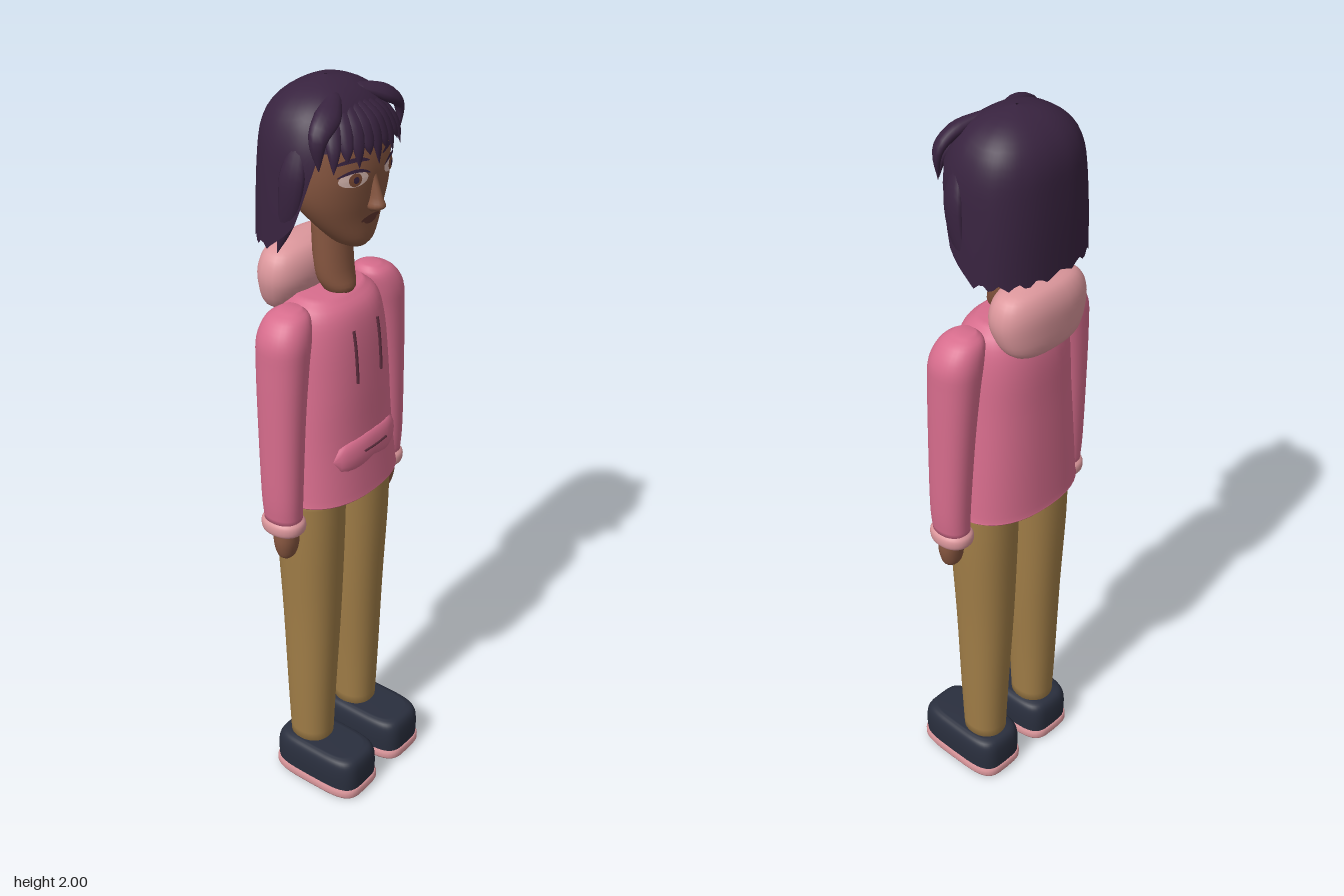
import * as THREE from 'three';

const mat = (name, color, side = THREE.FrontSide) => {
  const m = new THREE.MeshStandardMaterial({ color, side });
  m.name = name;
  return m;
};

// Joins closed rings of points, listed along their axis, into one smooth skin.
function skin(rings, caps = true) {
  const n = rings[0].length, pos = [], idx = [];
  rings.forEach(r => r.forEach(p => pos.push(p.x, p.y, p.z)));
  for (let i = 0; i < rings.length - 1; i++) {
    for (let j = 0; j < n; j++) {
      const a = i * n + j, b = i * n + (j + 1) % n;
      idx.push(a, b, a + n, b, b + n, a + n);
    }
  }
  if (caps) [0, rings.length - 1].forEach(i => {
    const c = new THREE.Vector3();
    rings[i].forEach(p => c.addScaledVector(p, 1 / n));
    const k = pos.length / 3;
    pos.push(c.x, c.y, c.z);
    for (let j = 0; j < n; j++) {
      const a = i * n + j, b = i * n + (j + 1) % n;
      idx.push(...(i ? [a, b, k] : [b, a, k]));
    }
  });
  const g = new THREE.BufferGeometry();
  g.setAttribute('position', new THREE.Float32BufferAttribute(pos, 3));
  g.setIndex(idx);
  g.computeVertexNormals();
  return g;
}

// Cross-sections are [y, centreX, centreZ, radiusX, radiusZ], from the bottom up.
function smooth(rows, k = 4) {
  const a = new THREE.CatmullRomCurve3(rows.map(r => new THREE.Vector3(r[0], r[1], r[2])), false, 'catmullrom');
  const b = new THREE.CatmullRomCurve3(rows.map(r => new THREE.Vector3(r[3], r[4], 0)), false, 'catmullrom');
  const m = (rows.length - 1) * k;
  return Array.from({ length: m + 1 }, (_, i) => {
    const p = a.getPoint(i / m), q = b.getPoint(i / m);
    return [p.x, p.y, p.z, q.x, q.y];
  });
}
const bend = (v, p) => Math.sign(v) * Math.abs(v) ** (2 / p);
const edge = ([y, cx, cz, rx, rz], a, p) =>
  new THREE.Vector3(cx + rx * bend(Math.sin(a), p), y, cz + rz * bend(Math.cos(a), p));
const loft = (rows, p = 2, n = 32) =>
  skin(rows.map(r => Array.from({ length: n }, (_, j) => edge(r, j / n * Math.PI * 2, p))));
function rowAt(rows, y) {
  const i = Math.min(Math.max(rows.findIndex(r => r[0] >= y), 1), rows.length - 1);
  const lo = rows[i - 1], hi = rows[i], t = (y - lo[0]) / (hi[0] - lo[0]);
  return lo.map((v, k) => v + (hi[k] - v) * t);
}
function frontZ(rows, x, y, p) {
  const [, cx, cz, rx, rz] = rowAt(rows, y);
  return cz + rz * Math.max(0, 1 - Math.abs((x - cx) / rx) ** p) ** (1 / p);
}

// Flattened strand along a curve; centre gives the axis it faces away from.
function strand(points, width, thick, profile, centre) {
  const curve = new THREE.CatmullRomCurve3(points.map(p => new THREE.Vector3(...p))), steps = 14;
  return skin(Array.from({ length: steps + 1 }, (_, i) => {
    const t = i / steps, c = curve.getPoint(t), T = curve.getTangent(t);
    const S = T.clone().cross(c.clone().sub(centre)).normalize(), N = S.clone().cross(T);
    return Array.from({ length: 12 }, (_, j) => {
      const a = j / 12 * Math.PI * 2, f = profile(t);
      return c.clone().addScaledVector(N, thick * f * Math.cos(a)).addScaledVector(S, width * f * Math.sin(a));
    });
  }));
}
const leaf = t => Math.max(0.03, Math.min(1, 0.45 + t * 1.6) * (1 - t ** 3));
const blunt = t => Math.max(0.02, (1 - Math.abs(2 * t - 1) ** 5) ** 0.5) * (0.8 + 0.2 * Math.abs(2 * t - 1));

export function createModel() {
  const model = new THREE.Group();
  const skinTone = mat('brown skin', 0x85553f), hair = mat('dark purple hair', 0x38233f, THREE.DoubleSide);
  const pink = mat('rose fabric', 0xd66c8c), pale = mat('pale pink lining', 0xdc979c);
  const tan = mat('tan trousers', 0xa07d47), navy = mat('navy shoe', 0x2a2f3e);
  const white = mat('eye white', 0xd8b8b0), iris = mat('iris brown', 0x7c4a35);
  const lip = mat('lip', 0x5f352e), cord = mat('dark cord', 0x5a2c3c);
  const add = (name, geo, material) => {
    const m = new THREE.Mesh(geo, material);
    m.name = name;
    model.add(m);
    return m;
  };

  // Hoodie body, hood and pocket
  const torso = smooth([[0.937, 0, -0.018, 0.17, 0.122], [0.946, 0, -0.018, 0.189, 0.136], [0.965, 0, -0.018, 0.187, 0.135],
    [1.1, 0, -0.022, 0.174, 0.127], [1.25, 0, -0.022, 0.161, 0.122], [1.38, 0, -0.025, 0.15, 0.115],
    [1.45, 0, -0.025, 0.132, 0.097], [1.485, 0, -0.025, 0.095, 0.06]]);
  add('hoodieBody', loft(torso, 2.3, 40), pink);
  add('hood', loft(smooth([[1.41, 0, -0.125, 0.05, 0.015], [1.44, 0, -0.118, 0.112, 0.05], [1.5, 0, -0.107, 0.14, 0.069],
    [1.55, 0, -0.105, 0.138, 0.069], [1.585, 0, -0.105, 0.112, 0.052], [1.6, 0, -0.105, 0.05, 0.02]]), 2.4), pale);
  const axis = new THREE.Vector3(0, 1.07, -0.06);
  add('pocket', strand([[-0.122, 1.07, 0.078], [-0.06, 1.074, 0.099], [0, 1.082, 0.104], [0.06, 1.074, 0.099], [0.122, 1.07, 0.078]],
    0.048, 0.018, blunt, axis), pink);
  add('pocketSlit', new THREE.TubeGeometry(new THREE.CatmullRomCurve3([[-0.045, 0.118], [0, 0.12], [0.045, 0.118]]
    .map(([x, z]) => new THREE.Vector3(x, 1.082, z))), 8, 0.003, 6), cord);

  // Neck and head
  add('neck', loft(smooth([[1.47, 0, 0.0, 0.02, 0.02], [1.49, 0, 0.002, 0.04, 0.042], [1.54, 0, -0.012, 0.053, 0.046],
    [1.68, 0, -0.022, 0.052, 0.045]]), 2, 24), skinTone);
  const head = smooth([[1.615, 0, 0.045, 0.028, 0.032], [1.635, 0, 0.04, 0.058, 0.05], [1.69, 0, 0.018, 0.104, 0.076],
    [1.75, 0, -0.005, 0.136, 0.108], [1.82, 0, -0.02, 0.146, 0.128], [1.9, 0, -0.03, 0.135, 0.118], [1.96, 0, -0.03, 0.07, 0.06]]);
  add('head', loft(head, 2.1, 40), skinTone);
  add('nose', loft(smooth([[1.708, 0, 0.1, 0.008, 0.006], [1.722, 0, 0.108, 0.019, 0.026], [1.745, 0, 0.106, 0.013, 0.021],
    [1.79, 0, 0.1, 0.01, 0.011], [1.82, 0, 0.098, 0.008, 0.006]]), 2, 16), skinTone);

  // Painted face details, laid on the curve of the face
  const decal = (name, x, y, w, h, lift, material, arch = 0) => {
    const g = new THREE.RingGeometry(0.0005, 1, 24, 4), p = g.attributes.position;
    for (let i = 0; i < p.count; i++) {
      const px = x + p.getX(i) * w, py = y + p.getY(i) * h - arch * p.getX(i) ** 2;
      p.setXYZ(i, px, py, frontZ(head, px, py, 2.1) + lift);
    }
    g.computeVertexNormals();
    add(name, g, material);
  };
  decal('upperLip', 0, 1.692, 0.034, 0.007, 0.003, lip, 0.003);
  decal('lowerLip', 0, 1.682, 0.024, 0.006, 0.0025, lip, -0.003);

  // Hair shell: open at the face, long at the sides and back
  const hairRows = smooth([[1.62, 0, -0.04, 0.18, 0.132], [1.75, 0, -0.035, 0.175, 0.137], [1.85, 0, -0.03, 0.168, 0.138],
    [1.9, 0, -0.033, 0.157, 0.129], [1.94, 0, -0.035, 0.138, 0.11], [1.97, 0, -0.035, 0.105, 0.082],
    [1.99, 0, -0.035, 0.06, 0.046], [2, 0, -0.035, 0.003, 0.003]]);
  const hem = deg => deg < 56 ? 1.875 : deg < 74 ? 1.875 - (deg - 56) * 0.0095
    : deg < 98 ? 1.704 - (deg - 74) * 0.003 : 1.635 + 0.008 * Math.cos(deg * 0.35);
  add('hairShell', skin(Array.from({ length: 21 }, (_, i) => Array.from({ length: 72 }, (_, j) => {
    const low = hem(Math.min(j, 72 - j) * 5), y = low + (2 - low) * Math.sin(i / 20 * Math.PI / 2);
    return edge(rowAt(hairRows, y), j / 72 * Math.PI * 2, 2.4);
  })), false), hair);

  // Fringe strands
  const crown = new THREE.Vector3(0, 1.82, -0.05);
  const tips = [1.83, 1.85, 1.832, 1.855, 1.825, 1.85, 1.835, 1.852, 1.828];
  tips.forEach((y, i) => {
    const x = (i - 4) * 0.029, z = 0.117 - x * x * 2.4;
    add('fringeStrand', strand([[x * 0.35, 1.975, 0.022], [x * 0.8, 1.925, z - 0.03], [x, 1.88, z - 0.007], [x * 1.08, y, z]],
      0.022, 0.012, leaf, crown), hair);
  });

  for (const s of [1, -1]) {
    const side = s > 0 ? 'left' : 'right';
    // Side tufts and locks
    add(side + 'Tuft', strand([[s * 0.035, 1.975, 0.02], [s * 0.1, 1.95, 0.05], [s * 0.148, 1.915, 0.06], [s * 0.15, 1.84, 0.062]],
      0.032, 0.018, leaf, crown), hair);
    add(side + 'Lock', strand([[s * 0.145, 1.9, 0.005], [s * 0.166, 1.82, 0.0], [s * 0.168, 1.72, -0.015], [s * 0.158, 1.615, -0.055]],
      0.034, 0.014, leaf, new THREE.Vector3(0, 1.75, -0.04)), hair);

    // Eyes
    const ex = s * 0.066;
    decal(side + 'EyeWhite', ex, 1.803, 0.036, 0.018, 0.003, white);
    decal(side + 'Iris', ex, 1.803, 0.016, 0.016, 0.005, iris);
    decal(side + 'Pupil', ex, 1.803, 0.007, 0.008, 0.007, hair);
    decal(side + 'Lash', ex, 1.824, 0.04, 0.004, 0.006, hair, 0.012);
    decal(side + 'Brow', ex, 1.848, 0.042, 0.005, 0.004, hair, 0.008);

    // Drawstring
    const string = [1.27, 1.32, 1.37, 1.41].map(y => new THREE.Vector3(s * 0.047, y, frontZ(torso, 0.047, y, 2.3) + 0.002));
    add(side + 'Drawstring', new THREE.TubeGeometry(new THREE.CatmullRomCurve3(string), 10, 0.004, 6), cord);

    // Sleeve, cuff and hand
    add(side + 'Sleeve', loft(smooth([[0.915, s * 0.208, -0.012, 0.041, 0.05], [1.0, s * 0.21, -0.012, 0.045, 0.054],
      [1.2, s * 0.203, -0.015, 0.051, 0.06], [1.35, s * 0.193, -0.017, 0.058, 0.065], [1.42, s * 0.184, -0.018, 0.062, 0.065],
      [1.465, s * 0.167, -0.02, 0.05, 0.052], [1.485, s * 0.155, -0.02, 0.022, 0.025]]), 2.2), pink);
    add(side + 'Cuff', loft(smooth([[0.876, s * 0.207, -0.012, 0.03, 0.038], [0.888, s * 0.207, -0.012, 0.046, 0.056],
      [0.912, s * 0.208, -0.012, 0.047, 0.058], [0.926, s * 0.208, -0.012, 0.036, 0.046]]), 2.2), pale);
    add(side + 'Hand', loft(smooth([[0.797, s * 0.204, -0.006, 0.012, 0.01], [0.812, s * 0.204, -0.006, 0.027, 0.022],
      [0.85, s * 0.205, -0.006, 0.035, 0.03], [0.89, s * 0.206, -0.008, 0.031, 0.031]]), 2.1, 20), skinTone);

    // Trouser leg
    add(side + 'Leg', loft(smooth([[0.11, s * 0.098, -0.015, 0.054, 0.058], [0.3, s * 0.097, -0.015, 0.062, 0.066],
      [0.56, s * 0.093, -0.015, 0.073, 0.077], [0.8, s * 0.095, -0.015, 0.082, 0.087], [0.97, s * 0.094, -0.015, 0.085, 0.09]]), 2.2), tan);

    // Shoe with pale rand and dark tread
    const fz = 0.037;
    add(side + 'Shoe', loft(smooth([[0.022, s * 0.1, fz, 0.077, 0.136], [0.07, s * 0.1, fz, 0.08, 0.137],
      [0.105, s * 0.1, fz, 0.078, 0.134], [0.123, s * 0.1, fz, 0.07, 0.124], [0.13, s * 0.1, fz, 0.055, 0.105]]), 4, 40), navy);
    add(side + 'Rand', loft([[0.004, s * 0.1, fz, 0.078, 0.137], [0.012, s * 0.1, fz, 0.082, 0.141],
      [0.028, s * 0.1, fz, 0.082, 0.141], [0.034, s * 0.1, fz, 0.077, 0.136]], 4, 40), pale);
    add(side + 'Tread', loft([[0, s * 0.1, fz, 0.066, 0.123], [0.008, s * 0.1, fz, 0.066, 0.123]], 4, 40), navy);
  }
  return model;
}
